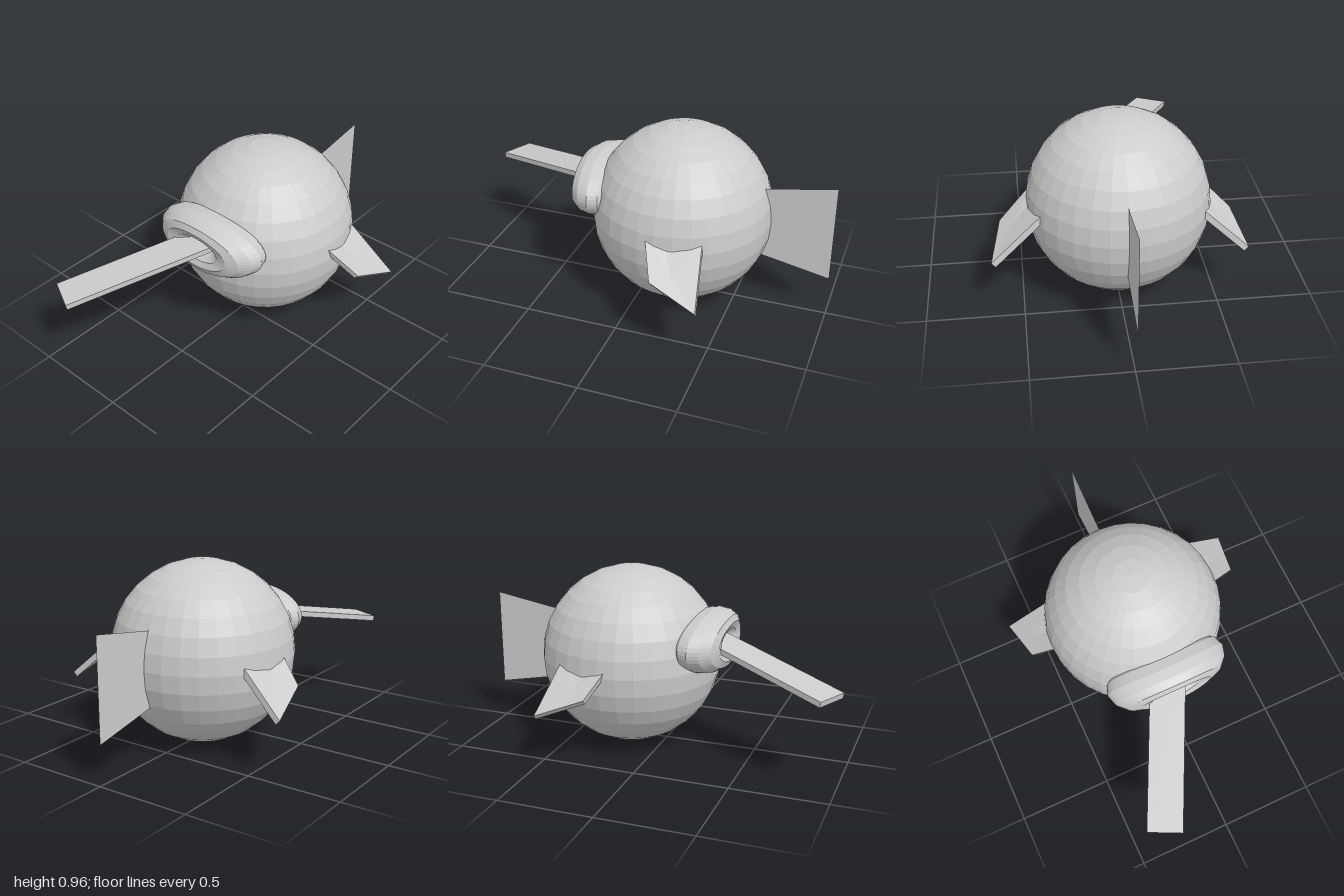
import * as THREE from 'three';

const grey = (side = THREE.FrontSide) =>
  new THREE.MeshStandardMaterial({ color: 0xcccccc, flatShading: true, side });

function part(name, geometry, side) {
  const mesh = new THREE.Mesh(geometry, grey(side));
  mesh.name = name;
  return mesh;
}

// Ring squashed into an oval, its ends bent back around the body
function lipsGeometry() {
  const g = new THREE.TorusGeometry(0.2, 0.13, 12, 48);
  g.scale(1, 0.48, 0.85);
  const p = g.attributes.position;
  for (let i = 0; i < p.count; i++) {
    const t = p.getX(i) / 0.33;
    p.setZ(i, p.getZ(i) - 0.035 * t * t);
  }
  g.computeVertexNormals();
  return g;
}

// Creased fin: a bent plate in front, a web behind, given thickness downwards
function finGeometry() {
  const top = [
    [0.42, 0.575, -0.13],  // 0 front root
    [0.605, 0.405, -0.22], // 1 outer corner
    [0.655, 0.31, -0.47],  // 2 tip
    [0.38, 0.555, -0.42],  // 3 rear root
    [0.545, 0.43, -0.31],  // 4 crease
    [0.42, 0.54, -0.235],  // 5 crease root
  ];
  const under = top.map(([x, y, z]) => [x - 0.022, y - 0.024, z]);
  const points = [...top, ...under].flat();
  const faces = [[0, 1, 4], [0, 4, 5], [1, 2, 4], [5, 4, 3], [4, 2, 3]];
  const index = [];
  for (const [a, b, c] of faces) index.push(a, b, c, a + 6, c + 6, b + 6);
  for (const [a, b] of [[0, 1], [1, 2], [2, 3]]) index.push(a, a + 6, b + 6, a, b + 6, b);
  const g = new THREE.BufferGeometry();
  g.setAttribute('position', new THREE.Float32BufferAttribute(points, 3));
  g.setIndex(index);
  g.computeVertexNormals();
  return g;
}

// Flat sheet, drawn in (-z, y) and turned into the middle plane
function tailGeometry() {
  const shape = new THREE.Shape([
    new THREE.Vector2(0.55, 0.668), new THREE.Vector2(0.55, 0.305),
    new THREE.Vector2(1, 0.215), new THREE.Vector2(1, 0.745),
  ]);
  return new THREE.ShapeGeometry(shape).rotateY(Math.PI / 2);
}

export function createModel() {
  const model = new THREE.Group();
  model.name = 'roundFish';

  const body = part('body', new THREE.SphereGeometry(0.48, 32, 16));
  body.position.set(-0.013, 0.485, -0.195);
  model.add(body);

  const lips = part('lips', lipsGeometry());
  lips.position.set(-0.013, 0.603, 0.257);
  model.add(lips);

  // Flat stick held in the mouth
  const inner = new THREE.Vector3(0.01, 0.624, 0.2);
  const outer = new THREE.Vector3(-0.362, 0.477, 0.96);
  const stick = part('mouthStick', new THREE.BoxGeometry(0.183, 0.03, inner.distanceTo(outer)));
  stick.position.copy(inner).lerp(outer, 0.5);
  stick.lookAt(outer);
  model.add(stick);

  const tail = part('tailFin', tailGeometry(), THREE.DoubleSide);
  tail.position.x = -0.01;
  model.add(tail);

  for (const [name, side] of [['leftFin', 1], ['rightFin', -1]]) {
    const fin = part(name, finGeometry(), THREE.DoubleSide);
    fin.scale.x = side;
    model.add(fin);
  }
  return model;
}
